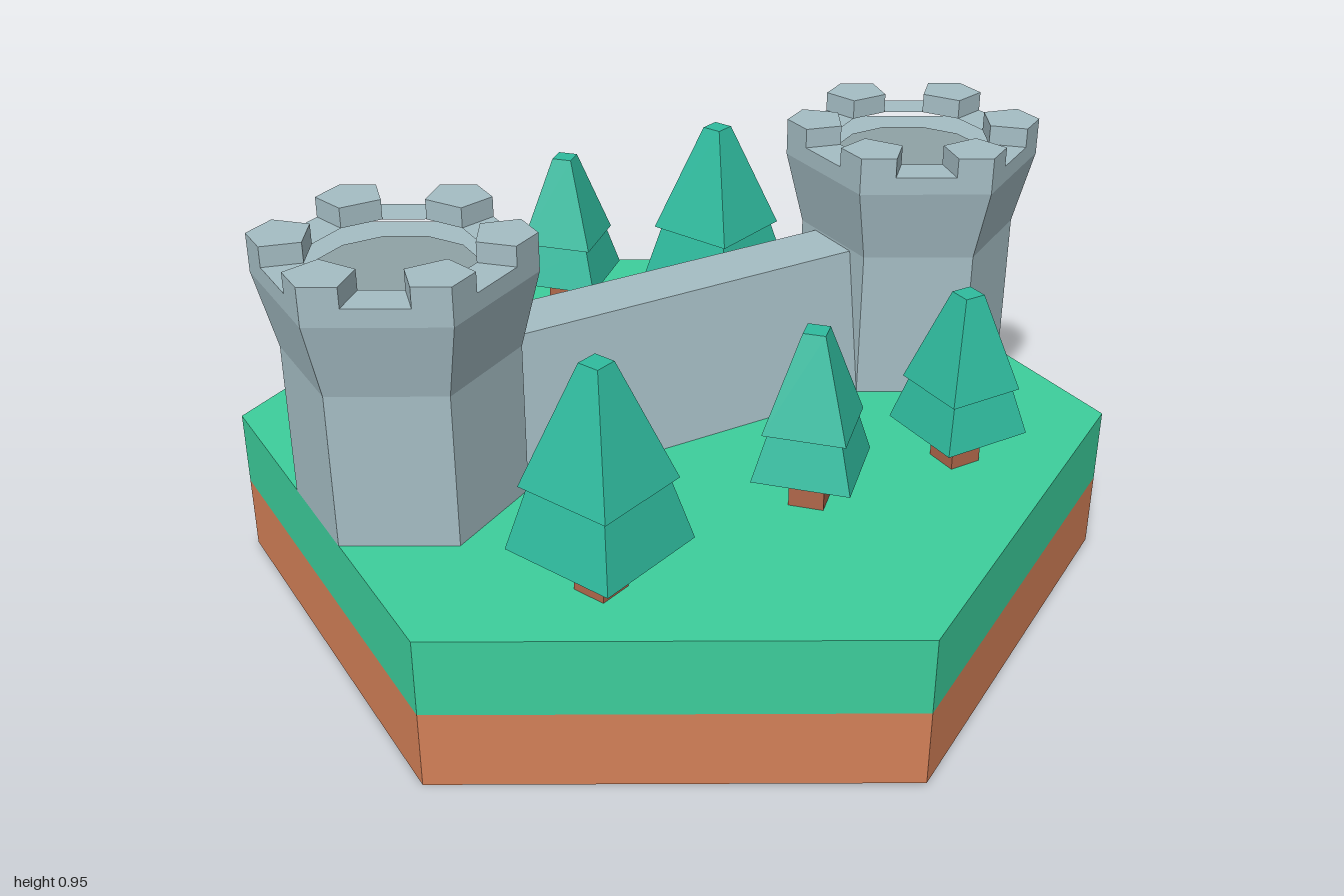
import * as THREE from 'three';

const mat = (color, side = THREE.FrontSide) =>
  new THREE.MeshStandardMaterial({ color, flatShading: true, side });

const GROUND = 0.35;

export function createModel() {
  const model = new THREE.Group();
  const dirt = mat(0xd48058), grass = mat(0x3dce9c), stone = mat(0xa5bdc4);
  const floorStone = mat(0x8fa2a6), leaf = mat(0x2fbb9e), bark = mat(0xb0674a);

  function add(parent, name, geometry, material, y = 0) {
    const mesh = new THREE.Mesh(geometry, material);
    mesh.name = name;
    mesh.position.y = y;
    parent.add(mesh);
    return mesh;
  }

  // Straight-sided or tapered prism standing between two heights
  function prism(parent, name, rBottom, rTop, y0, y1, sides, material) {
    const g = new THREE.CylinderGeometry(rTop, rBottom, y1 - y0, sides);
    return add(parent, name, g, material, (y0 + y1) / 2);
  }

  // Flat outline raised upward by a given height
  function slab(shape, height) {
    const g = new THREE.ExtrudeGeometry(shape, { depth: height, bevelEnabled: false });
    return g.rotateX(-Math.PI / 2);
  }

  const polar = (r, deg) => {
    const a = THREE.MathUtils.degToRad(deg);
    return new THREE.Vector2(r * Math.sin(a), r * Math.cos(a));
  };
  const polygon = (r, n, start = 0) =>
    Array.from({ length: n }, (_, i) => polar(r, start + (i * 360) / n));

  // Hexagonal ground tile
  prism(model, 'dirtLayer', 1, 1, 0, 0.175, 6, dirt);
  prism(model, 'grassLayer', 1, 1, 0.175, GROUND, 6, grass);

  // Towers: hexagonal shaft, flared head, parapet ring and corner merlons
  const R = 0.293, INNER = 0.178;
  const ring = new THREE.Shape(polygon(R, 6));
  ring.holes.push(new THREE.Path(polygon(INNER, 12, 15)));
  const ringGeometry = slab(ring, 0.04);

  const edge = (R * Math.cos(Math.PI / 6)) / Math.cos(Math.PI / 12);
  const merlonGeometry = slab(new THREE.Shape([
    polar(INNER, -15), polar(edge, -15), polar(R, 0), polar(edge, 15), polar(INNER, 15),
  ]), 0.045);

  function tower(name, x, z) {
    const t = new THREE.Group();
    t.name = name;
    t.position.set(x, 0, z);
    prism(t, 'shaft', 0.25, 0.25, GROUND, 0.7, 6, stone);
    prism(t, 'flaredHead', 0.25, R, 0.7, 0.87, 6, stone);
    add(t, 'parapetRing', ringGeometry, stone, 0.87);
    const floor = new THREE.CircleGeometry(INNER, 12, Math.PI / 12).rotateX(-Math.PI / 2);
    add(t, 'towerFloor', floor, floorStone, 0.872);
    for (let i = 0; i < 6; i++) {
      add(t, 'merlon', merlonGeometry, stone, 0.91).rotation.y = (i * Math.PI) / 3;
    }
    model.add(t);
  }
  tower('frontTower', -0.325, 0.563);
  tower('backTower', 0.325, -0.563);

  // Wall with battered sides joining the towers
  const section = new THREE.Shape([
    new THREE.Vector2(-0.125, 0), new THREE.Vector2(0.125, 0),
    new THREE.Vector2(0.07, 0.345), new THREE.Vector2(-0.07, 0.345),
  ]);
  const wallGeometry = new THREE.ExtrudeGeometry(section, { depth: 1, bevelEnabled: false });
  wallGeometry.translate(0, 0, -0.5);
  add(model, 'wall', wallGeometry, stone, GROUND).rotation.y = -Math.PI / 6;

  // Trees: square trunk and two tapered foliage tiers
  function tree(x, z, deg, big) {
    const t = new THREE.Group();
    t.name = big ? 'largeTree' : 'smallTree';
    t.position.set(x, 0, z);
    t.rotation.y = THREE.MathUtils.degToRad(deg);
    const [base, mid, top, r] = big ? [0.455, 0.595, 0.855, 0.186] : [0.435, 0.54, 0.755, 0.15];
    prism(t, 'trunk', 0.054, 0.054, GROUND, base, 4, bark);
    prism(t, 'lowerFoliage', r, r * 0.74, base, mid, 4, leaf);
    prism(t, 'upperFoliage', r * 0.84, 0.034, mid, top, 4, leaf);
    model.add(t);
  }
  tree(0.22, 0.67, 36, true);
  tree(-0.175, -0.53, 36, true);
  tree(0.435, 0.17, 58, false);
  tree(-0.535, -0.39, 58, false);
  tree(0.64, -0.145, 15, false);
  tree(-0.62, 0.195, 11, false);

  return model;
}
